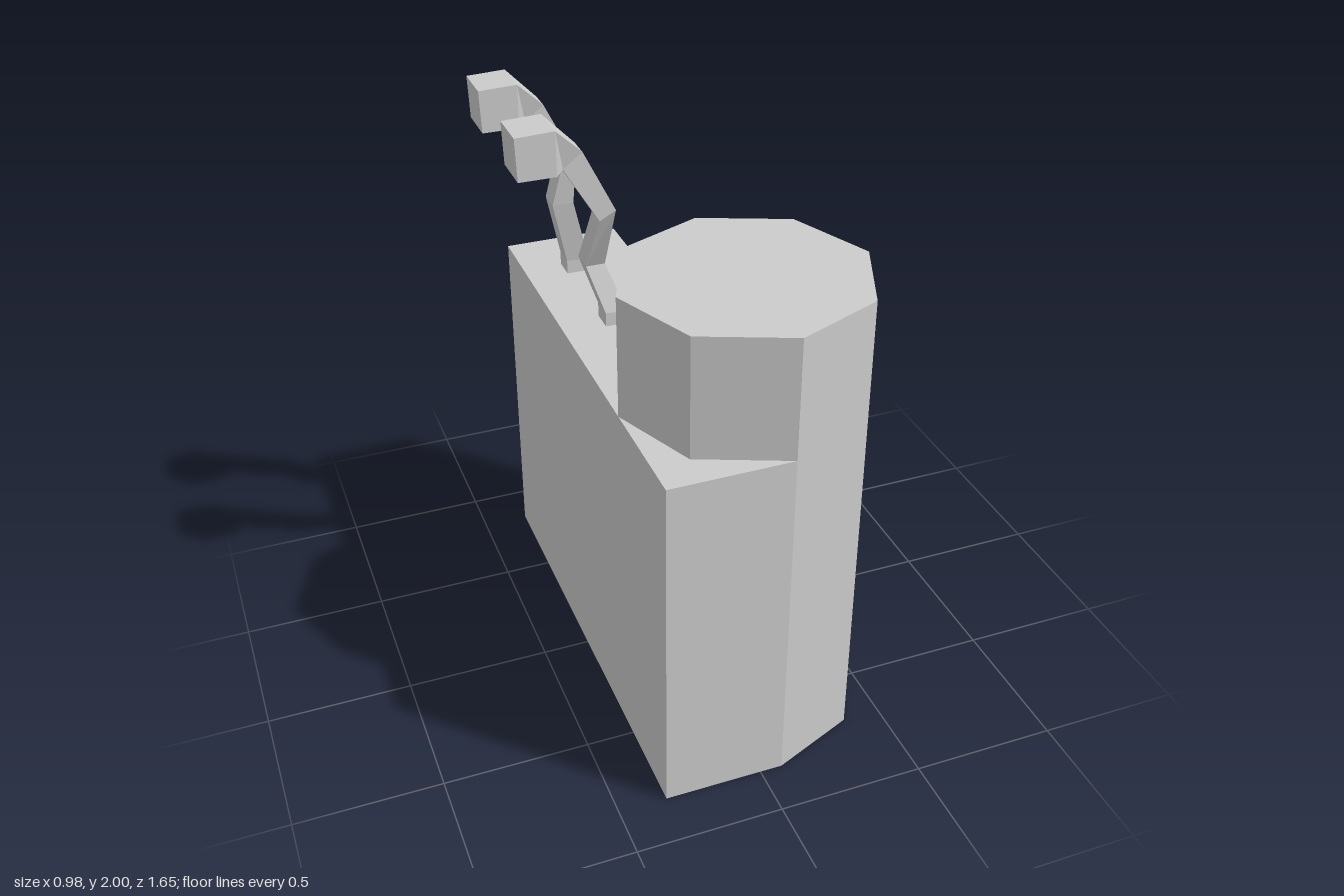
import * as THREE from 'three';

const material = new THREE.MeshStandardMaterial({ color: 0xcccccc, flatShading: true });

function add(group, name, geometry, x = 0, y = 0, z = 0) {
  const mesh = new THREE.Mesh(geometry, material);
  mesh.name = name;
  mesh.position.set(x, y, z);
  group.add(mesh);
}

// Box from its minimum and maximum corners
function addBox(group, name, [x0, y0, z0], [x1, y1, z1]) {
  add(group, name, new THREE.BoxGeometry(x1 - x0, y1 - y0, z1 - z0),
    (x0 + x1) / 2, (y0 + y1) / 2, (z0 + z1) / 2);
}

// Square-section pipe; each ring is [outer x, outer y, inner x, inner y, centre z, half width]
function pipeGeometry(rings) {
  const positions = [];
  const index = [];
  for (const [xo, yo, xi, yi, z, h] of rings) {
    positions.push(xo, yo, z + h, xo, yo, z - h, xi, yi, z - h, xi, yi, z + h);
  }
  for (let r = 0; r < rings.length - 1; r++) {
    for (let i = 0; i < 4; i++) {
      const a = r * 4 + i, b = r * 4 + (i + 1) % 4;
      index.push(a, b, b + 4, a, b + 4, a + 4);
    }
  }
  const e = (rings.length - 1) * 4;
  index.push(e, e + 1, e + 2, e, e + 2, e + 3, 0, 2, 1, 0, 3, 2);
  const geometry = new THREE.BufferGeometry();
  geometry.setAttribute('position', new THREE.Float32BufferAttribute(positions, 3));
  geometry.setIndex(index);
  const flat = geometry.toNonIndexed();
  flat.computeVertexNormals();
  return flat;
}

// Upper stalk and flared square nozzle, shared by both pipes
const upperRings = (z) => [
  [-0.165, 1.69, -0.22, 1.66, z, 0.041],
  [-0.27, 1.905, -0.335, 1.855, z, 0.04],
  [-0.365, 2.0, -0.365, 1.85, z, 0.075],
  [-0.495, 1.995, -0.49, 1.85, z, 0.075],
];

export function createModel() {
  const model = new THREE.Group();

  // Main body and raised side panel
  addBox(model, 'body', [-0.335, 0, -0.828], [0.077, 1.24, 0.824]);
  addBox(model, 'sidePanel', [0.07, 0.408, -0.735], [0.088, 1.085, -0.06]);

  // Octagonal tank
  add(model, 'tank', new THREE.CylinderGeometry(0.412, 0.412, 1.655, 8), 0.077, 0.8275, 0.412);

  // Bent pipes standing on the body
  add(model, 'frontPipe', pipeGeometry([
    [-0.115, 1.24, -0.19, 1.24, -0.17, 0.04],
    [-0.115, 1.285, -0.19, 1.29, -0.17, 0.04],
    [-0.172, 1.45, -0.238, 1.45, -0.222, 0.041],
    ...upperRings(-0.115),
  ]));
  add(model, 'rearPipe', pipeGeometry([
    [-0.115, 1.24, -0.195, 1.24, -0.582, 0.04],
    [-0.115, 1.285, -0.195, 1.29, -0.582, 0.04],
    [-0.175, 1.53, -0.25, 1.53, -0.546, 0.041],
    ...upperRings(-0.532),
  ]));

  return model;
}
